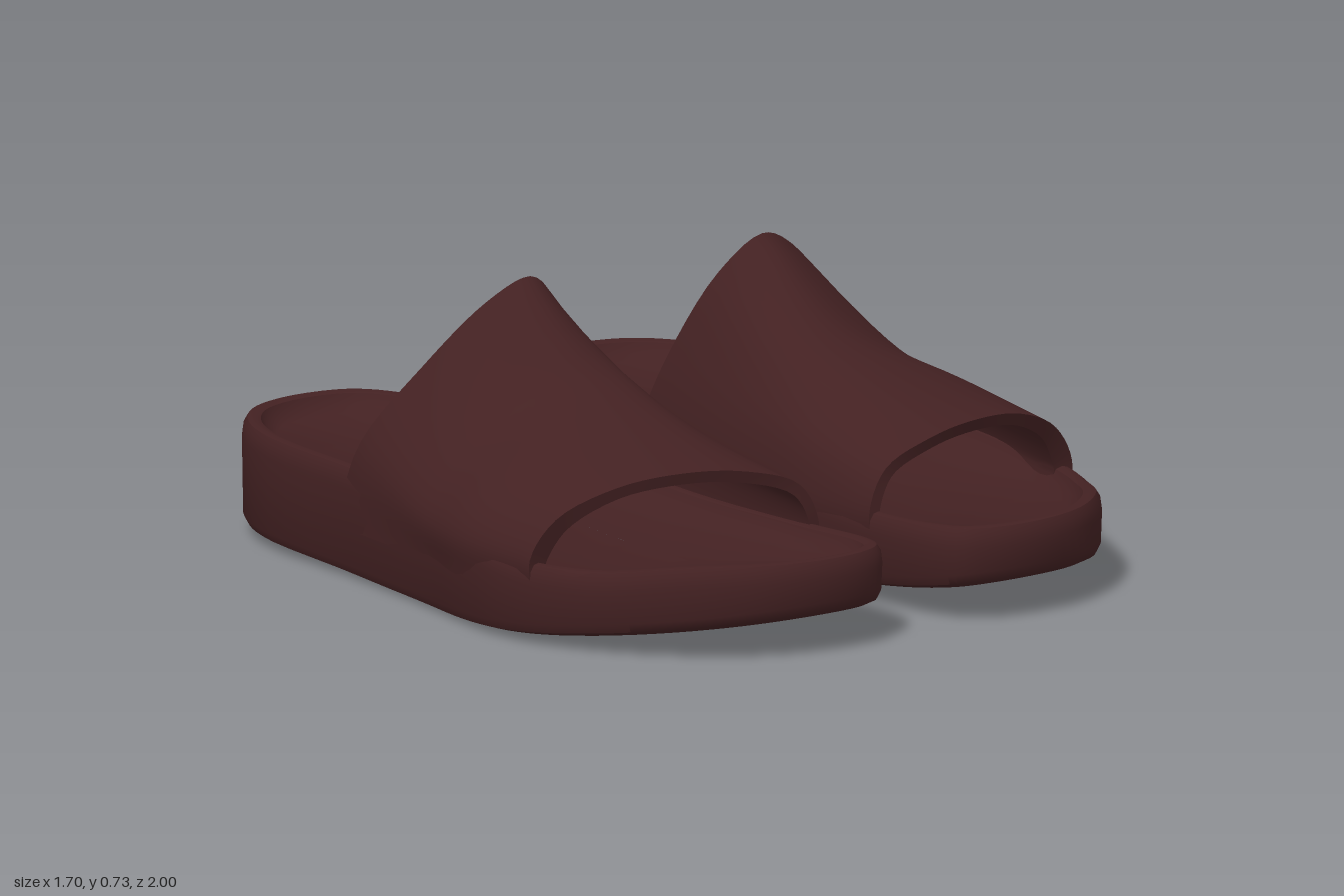
import * as THREE from 'three';
import { toCreasedNormals } from 'three/addons/utils/BufferGeometryUtils.js';

const V = (x, y, z) => new THREE.Vector3(x, y, z);
const smooth = THREE.MathUtils.smoothstep;

// Surface from a function of (u, v); side = -1 mirrors it across x = 0
function grid(fn, nu, nv, side) {
  const pos = [], idx = [];
  for (let j = 0; j <= nv; j++)
    for (let i = 0; i <= nu; i++) {
      const p = fn(i / nu, j / nv);
      pos.push(p.x * side, p.y, p.z);
    }
  for (let j = 0; j < nv; j++)
    for (let i = 0; i < nu; i++) {
      const a = j * (nu + 1) + i, b = a + 1, c = a + nu + 1, d = c + 1;
      if (side > 0) idx.push(a, b, c, b, d, c);
      else idx.push(a, c, b, b, c, d);
    }
  const g = new THREE.BufferGeometry();
  g.setAttribute('position', new THREE.Float32BufferAttribute(pos, 3));
  g.setIndex(idx);
  return toCreasedNormals(g, 0.7);
}

// Sole outline as (x, z), down the outer side and back up the inner side
const outline = new THREE.CatmullRomCurve3([
  [0.42, -1], [0.57, -0.965], [0.67, -0.87], [0.73, -0.72], [0.758, -0.35],
  [0.8, 0], [0.836, 0.2], [0.848, 0.35], [0.824, 0.5], [0.735, 0.7],
  [0.605, 0.87], [0.48, 0.96], [0.33, 0.998], [0.2, 0.988], [0.12, 0.945],
  [0.083, 0.85], [0.076, 0.62], [0.1, 0.3], [0.13, 0], [0.148, -0.35],
  [0.152, -0.72], [0.19, -0.87], [0.27, -0.965],
].map(([x, z]) => V(x, 0, z)), true);

const bottomY = (z) => 0.006 + 0.105 * Math.max(z, 0) ** 2 + 0.018 * smooth(-z, 0.1, 1);
const topY = (x, z) => 0.285 + 0.01 * smooth(-z, 0.4, 1)
  - 0.05 * smooth(z, -0.4, 0.4) + 0.015 * smooth(z, 0.6, 1)
  - 0.025 * smooth(x, 0.5, 0.8) * smooth(z, 0.1, 0.5) * (1 - smooth(z, 0.6, 0.95));

// Rings of the sole: [inset, measured from top?, height offset]; inset 1 = centre line
const rings = [
  [1, 0, 0], [0.045, 0, 0], [0.015, 0, 0.01], [0.003, 0, 0.032], [0, 1, -0.05],
  [0.004, 1, -0.02], [0.014, 1, -0.004], [0.028, 1, 0], [0.046, 1, -0.006],
  [0.06, 1, -0.032], [0.085, 1, -0.046], [1, 1, -0.05],
];

function solePoint(u, v) {
  const [inset, fromTop, dy] = rings[Math.round(v * (rings.length - 1))];
  const t = (1 - u) % 1;
  const p = outline.getPoint(t), d = outline.getTangent(t);
  if (inset === 1) {
    p.z = THREE.MathUtils.clamp(p.z, -0.65, 0.6);
    p.x = 0.44;
  } else {
    p.x -= d.z * inset;
    p.z += d.x * inset;
  }
  p.y = dy + (fromTop ? topY(p.x, p.z) : bottomY(p.z));
  return p;
}

// Strap arches from the toe opening back to the raised instep, inner to outer side
const arches = [
  [[0.085, 0.13, 0.64], [0.078, 0.24, 0.64], [0.13, 0.335, 0.635], [0.28, 0.388, 0.62],
    [0.45, 0.402, 0.585], [0.62, 0.382, 0.54], [0.768, 0.315, 0.49], [0.832, 0.22, 0.47], [0.824, 0.13, 0.47]],
  [[0.102, 0.13, 0.35], [0.096, 0.23, 0.35], [0.138, 0.36, 0.33], [0.265, 0.462, 0.3],
    [0.42, 0.478, 0.28], [0.615, 0.43, 0.25], [0.786, 0.328, 0.23], [0.846, 0.23, 0.22], [0.836, 0.13, 0.22]],
  [[0.128, 0.13, 0.1], [0.12, 0.24, 0.1], [0.155, 0.39, 0.1], [0.25, 0.525, 0.1],
    [0.38, 0.55, 0.1], [0.56, 0.485, 0.07], [0.74, 0.355, 0.04], [0.81, 0.24, 0.02], [0.8, 0.13, 0.02]],
  [[0.153, 0.13, -0.4], [0.143, 0.28, -0.338], [0.17, 0.45, -0.265], [0.25, 0.65, -0.178],
    [0.355, 0.74, -0.14], [0.47, 0.69, -0.162], [0.62, 0.535, -0.228], [0.745, 0.35, -0.31], [0.75, 0.13, -0.4]],
].map((row) => new THREE.CatmullRomCurve3(row.map((p) => V(...p))));

const strapOuter = (u, v) =>
  new THREE.CatmullRomCurve3(arches.map((c) => c.getPoint(u))).getPoint(v);

// Inner face lies one thickness below the outer face, padded at the outer toe corner
function strapInner(u, v) {
  const e = 0.01, u0 = Math.max(u - e, 0), u1 = Math.min(u + e, 1);
  const v0 = Math.max(v - e, 0), v1 = Math.min(v + e, 1);
  const du = strapOuter(u1, v).sub(strapOuter(u0, v));
  const dv = strapOuter(u, v1).sub(strapOuter(u, v0));
  const thickness = 0.03 + 0.025 * smooth(u, 0.6, 0.85) * (1 - v);
  return strapOuter(u, v).addScaledVector(du.cross(dv).normalize(), -thickness);
}

const strapEdge = (u, v, w) => strapInner(u, v).lerp(strapOuter(u, v), w);

export function createModel() {
  const model = new THREE.Group();
  model.name = 'slideSandals';
  const brown = new THREE.MeshStandardMaterial({ color: 0x432122 });
  brown.name = 'darkBrown';

  for (const side of [1, -1]) {
    const sandal = new THREE.Group();
    sandal.name = side > 0 ? 'leftSandal' : 'rightSandal';
    const add = (name, fn, nu, nv) => {
      const mesh = new THREE.Mesh(grid(fn, nu, nv, side), brown);
      mesh.name = name;
      sandal.add(mesh);
    };
    add('sole', solePoint, 96, rings.length - 1);
    add('strapOuterFace', strapOuter, 40, 20);
    add('strapLining', (u, v) => strapInner(1 - u, v), 40, 20);
    add('strapFrontEdge', (u, w) => strapEdge(u, 0, w), 40, 1);
    add('strapBackEdge', (u, w) => strapEdge(1 - u, 1, w), 40, 1);
    model.add(sandal);
  }
  return model;
}
